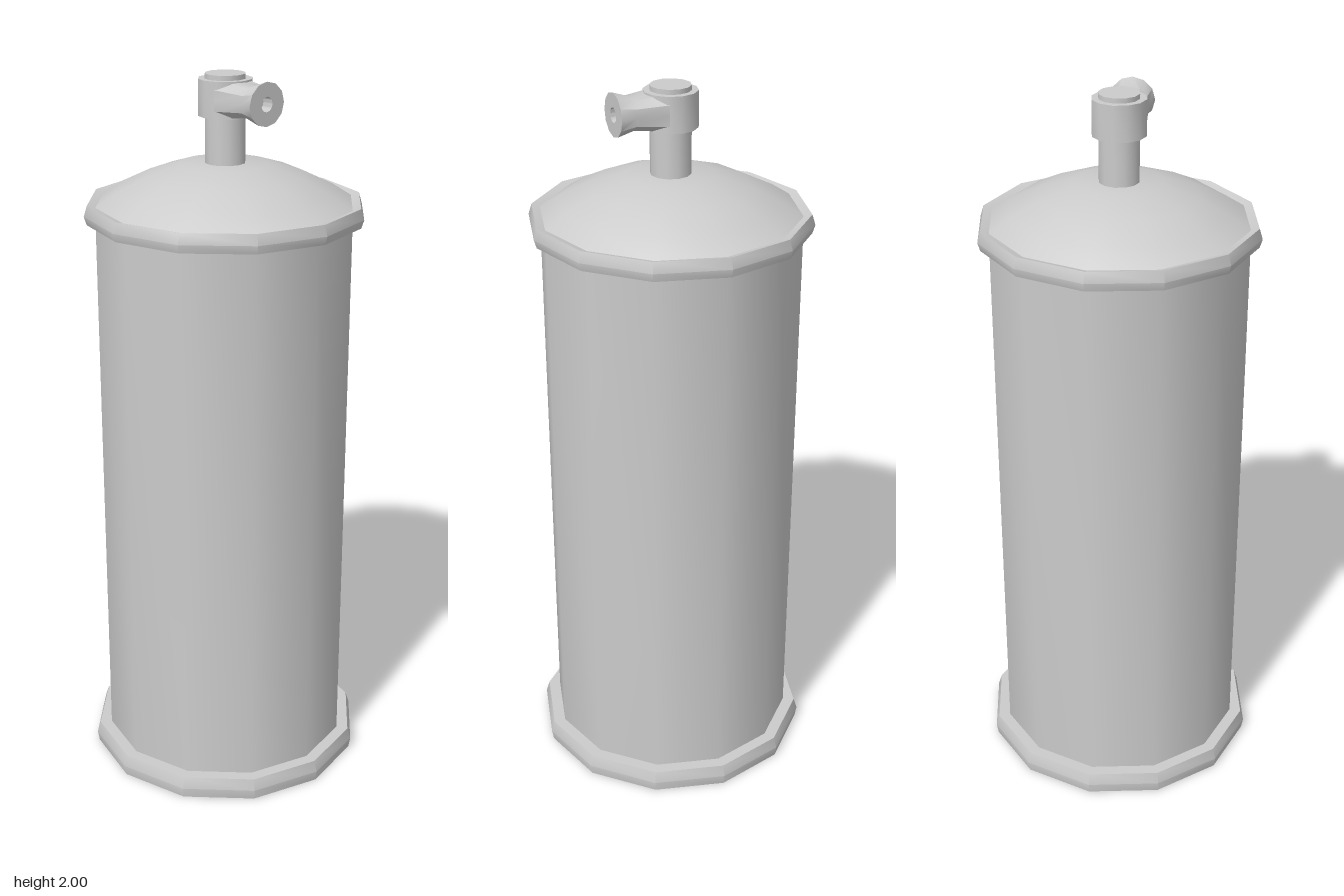
import * as THREE from 'three';
import { toCreasedNormals } from 'three/addons/utils/BufferGeometryUtils.js';

const SIDES = 12;
const material = new THREE.MeshStandardMaterial({ color: 0xcccccc });

function addMesh(group, name, geometry, crease = 0.6) {
  const mesh = new THREE.Mesh(toCreasedNormals(geometry, crease), material);
  mesh.name = name;
  group.add(mesh);
  return mesh;
}

// Profile of [radius, height] pairs, turned around the y axis
function turned(profile) {
  return new THREE.LatheGeometry(profile.map(([r, y]) => new THREE.Vector2(r, y)), SIDES);
}

// Skin through rings along x; each ring is { x, ry, rz, power }, power 2 = round, higher = boxier
function loftAlongX(rings) {
  const positions = [];
  const indices = [];
  rings.forEach(({ x, ry, rz, power }) => {
    for (let i = 0; i < SIDES; i++) {
      const a = (i / SIDES) * Math.PI * 2;
      const c = Math.cos(a), s = Math.sin(a);
      const k = Math.pow(Math.abs(c) ** power + Math.abs(s) ** power, -1 / power);
      positions.push(x, ry * k * c, rz * k * s);
    }
  });
  for (let r = 0; r < rings.length - 1; r++) {
    for (let i = 0; i < SIDES; i++) {
      const j = (i + 1) % SIDES;
      const a = r * SIDES + i, b = r * SIDES + j;
      indices.push(a, b, a + SIDES, b, b + SIDES, a + SIDES);
    }
  }
  const geometry = new THREE.BufferGeometry();
  geometry.setAttribute('position', new THREE.Float32BufferAttribute(positions, 3));
  geometry.setIndex(indices);
  return geometry;
}

export function createModel() {
  const model = new THREE.Group();
  model.name = 'gasCanister';

  // Base ring with hollowed underside
  addMesh(model, 'baseRing', turned([
    [0, 0.06], [0.13, 0.052], [0.26, 0.032], [0.375, 0], [0.393, 0],
    [0.398, 0.03], [0.388, 0.062], [0.352, 0.062],
  ]));

  // Straight tank wall
  addMesh(model, 'tankBody', turned([[0.354, 0.055], [0.354, 1.62]]));

  // Rolled seam around the top
  addMesh(model, 'topRing', turned([
    [0.35, 1.612], [0.378, 1.612], [0.385, 1.635], [0.376, 1.664], [0.352, 1.657],
  ]));

  // Shallow domed lid
  addMesh(model, 'domedLid', turned([
    [0.357, 1.655], [0.3, 1.692], [0.215, 1.733], [0.12, 1.763], [0, 1.766],
  ]));

  // Valve: stem, collar and side nozzle
  const valve = new THREE.Group();
  valve.name = 'valve';
  model.add(valve);
  addMesh(valve, 'valveStem', turned([[0.055, 1.74], [0.055, 2], [0, 2]]));
  addMesh(valve, 'valveCollar', turned([
    [0, 1.89], [0.073, 1.89], [0.073, 1.987], [0, 1.987],
  ]));

  // Nozzle narrows, flares, then turns in to a small blind hole
  const nozzle = addMesh(valve, 'valveNozzle', loftAlongX([
    { x: 0.03, ry: 0.048, rz: 0.066, power: 8 },
    { x: 0.115, ry: 0.042, rz: 0.054, power: 2.6 },
    { x: 0.159, ry: 0.058, rz: 0.061, power: 2 },
    { x: 0.159, ry: 0.02, rz: 0.02, power: 2 },
    { x: 0.125, ry: 0.02, rz: 0.02, power: 2 },
    { x: 0.125, ry: 0.0001, rz: 0.0001, power: 2 },
  ]));
  nozzle.position.y = 1.938;

  return model;
}
